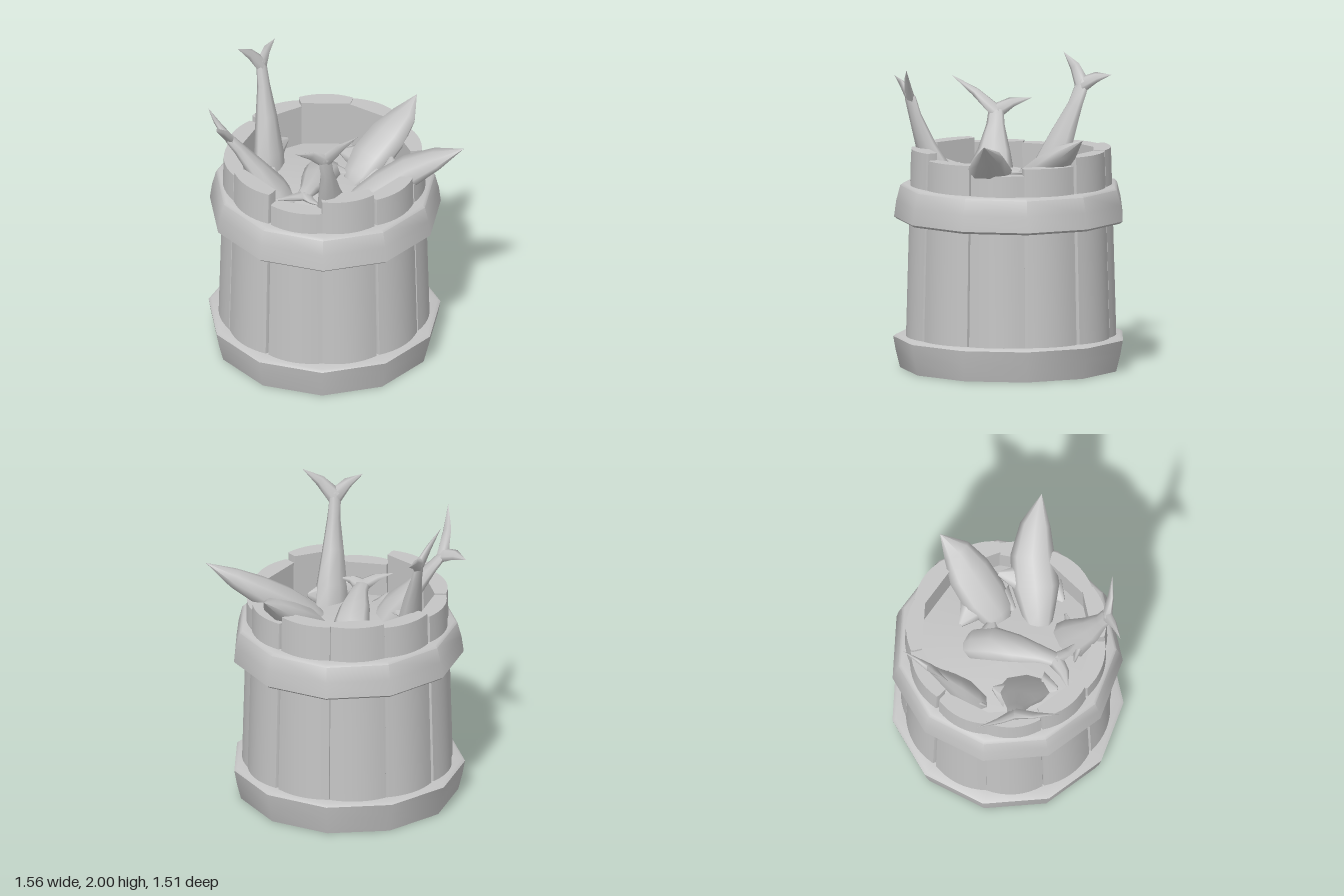
import * as THREE from 'three';
import { toCreasedNormals } from 'three/addons/utils/BufferGeometryUtils.js';

const SIDES = 11;
const STEP = (Math.PI * 2) / SIDES;
const START = THREE.MathUtils.degToRad(7.5);

// Loft of elliptical sections [x, y, z, halfWidth, halfThickness]; side = width direction
function loft(sections, side, n = 8) {
  const pts = sections.map(s => new THREE.Vector3(s[0], s[1], s[2]));
  const width = new THREE.Vector3(...side);
  const pos = [], index = [];
  sections.forEach((s, i) => {
    const t = pts[Math.min(i + 1, pts.length - 1)].clone().sub(pts[Math.max(i - 1, 0)]).normalize();
    const u = width.clone().addScaledVector(t, -width.dot(t)).normalize();
    const v = t.clone().cross(u);
    for (let j = 0; j < n; j++) {
      const a = (j / n) * Math.PI * 2;
      const p = pts[i].clone().addScaledVector(u, s[3] * Math.cos(a)).addScaledVector(v, s[4] * Math.sin(a));
      pos.push(p.x, p.y, p.z);
    }
    if (i === 0) return;
    for (let j = 0; j < n; j++) {
      const k = (j + 1) % n, a = (i - 1) * n, b = i * n;
      index.push(a + j, a + k, b + k, a + j, b + k, b + j);
    }
  });
  const g = new THREE.BufferGeometry();
  g.setAttribute('position', new THREE.Float32BufferAttribute(pos, 3));
  g.setIndex(index);
  g.computeVertexNormals();
  return g;
}

export function createModel() {
  const model = new THREE.Group();
  const grey = new THREE.MeshStandardMaterial({ color: 0xc4c4c4 });
  grey.name = 'plain grey';

  const add = (parent, name, geometry) => {
    const m = new THREE.Mesh(geometry, grey);
    m.name = name;
    parent.add(m);
    return m;
  };

  const barrel = new THREE.Group();
  barrel.name = 'barrel';
  barrel.position.x = 0.013;
  model.add(barrel);

  // Hoops: eleven-sided lathes with a slanted outer face
  const hoop = (name, profile) => {
    const pts = profile.map(p => new THREE.Vector2(...p));
    pts.push(pts[0].clone());
    const g = new THREE.LatheGeometry(pts, SIDES, Math.PI - START, Math.PI * 2);
    return add(barrel, name, toCreasedNormals(g, 0.75));
  };
  hoop('bottomHoop', [[0.72, 0], [0.748, 0.11], [0.765, 0.205], [0.745, 0.22], [0.62, 0.22], [0.6, 0.04], [0.63, 0]]);
  const topHoop = hoop('topHoop', [[0.745, 0.98], [0.762, 0.995], [0.748, 1.1], [0.722, 1.2], [0.705, 1.215], [0.62, 1.215], [0.62, 0.98]]);
  topHoop.rotation.z = -0.006;

  // Staves: bulged outside, flat inside, uneven tops
  const heights = [1.455, 1.45, 1.395, 1.35, 1.41, 1.455, 1.365, 1.44, 1.41, 1.4, 1.43];
  const half = 0.69 * Math.sin(STEP / 2) - 0.008;
  const apothem = 0.69 * Math.cos(STEP / 2);
  const bottom = 0.05;
  heights.forEach((h, i) => {
    const shape = new THREE.Shape();
    shape.moveTo(-half * 0.9, apothem - 0.09);
    shape.lineTo(half * 0.9, apothem - 0.09);
    shape.lineTo(half, apothem - 0.03);
    for (let k = 4; k >= -4; k--) {
      const s = k / 4;
      shape.lineTo(half * s * 0.99, apothem - 0.012 + 0.043 * (1 - s * s));
    }
    shape.lineTo(-half, apothem - 0.03);
    shape.closePath();
    const g = new THREE.ExtrudeGeometry(shape, { depth: h - bottom, bevelEnabled: false });
    g.rotateX(-Math.PI / 2);
    g.translate(0, bottom, 0);
    const p = g.attributes.position;
    for (let v = 0; v < p.count; v++) {
      const f = 1.005 - 0.045 * Math.max(0, p.getY(v) - 0.2);
      p.setX(v, p.getX(v) * f);
      p.setZ(v, p.getZ(v) * f);
    }
    const stave = add(barrel, 'stave', toCreasedNormals(g, 0.5));
    stave.rotation.y = -(START + STEP * (i + 0.5)) + 0.012 * Math.sin(i * 2.3);
  });

  // Floor boards, clipped to the round base and slightly tilted
  const floor = new THREE.Group();
  floor.name = 'floorBoards';
  floor.rotation.y = 0.1;
  barrel.add(floor);
  const reach = 0.64, boardWidth = 0.252;
  for (let i = -2; i <= 2; i++) {
    const rim = [-0.49, 0, 0.49].map(t => {
      const z = (i + t) * boardWidth;
      return [Math.sqrt(reach * reach - z * z), t * boardWidth];
    });
    const outline = [...rim, ...rim.map(([x, z]) => [-x, z]).reverse()];
    const shape = new THREE.Shape(outline.map(p => new THREE.Vector2(...p)));
    const g = new THREE.ExtrudeGeometry(shape, { depth: 0.04, bevelEnabled: false });
    g.rotateX(Math.PI / 2);
    const board = add(floor, 'floorBoard', g);
    board.position.set(0, 0.1, i * boardWidth);
    board.rotation.x = 0.07;
  }

  // Gently domed surface the fish lie in
  const dome = [[0.6, 1.13], [0.4, 1.16], [0.2, 1.18], [0, 1.19]].map(p => new THREE.Vector2(...p));
  add(barrel, 'contents', new THREE.LatheGeometry(dome, 22));

  // Fish: body loft, forked tail lobes and small side fins
  const fish = ({ name, body, side, tips = [], fins = [] }) => {
    const group = new THREE.Group();
    group.name = name;
    model.add(group);
    add(group, 'body', loft(body, side));
    const root = body[body.length - 1];
    const prev = body[body.length - 2];
    const along = new THREE.Vector3(root[0] - prev[0], root[1] - prev[1], root[2] - prev[2]).normalize();
    for (const tip of tips) {
      const mid = [0, 1, 2].map(k => root[k] * 0.55 + tip[k] * 0.45);
      const start = [0, 1, 2].map(k => root[k] - along.getComponent(k) * 0.04);
      add(group, 'tailLobe', loft([[...start, 0.055, 0.03], [...mid, 0.036, 0.016], [...tip, 0, 0]], along.toArray(), 6));
    }
    for (const [from, to, dir] of fins) {
      add(group, 'sideFin', loft([[...from, 0.1, 0.03], [...to, 0.015, 0.006], [...to, 0, 0]], dir, 6));
    }
  };

  fish({
    name: 'frontTailFish', side: [1, 0, -0.3],
    body: [[-0.08, 1.1, 0.38, 0.14, 0.08], [-0.11, 1.25, 0.43, 0.125, 0.075], [-0.17, 1.46, 0.52, 0.085, 0.055],
      [-0.21, 1.66, 0.58, 0.05, 0.035], [-0.235, 1.78, 0.605, 0.05, 0.025], [-0.24, 1.83, 0.62, 0, 0]],
    tips: [[-0.455, 1.9, 0.62], [-0.05, 1.99, 0.715]],
    fins: [[[-0.06, 1.2, 0.42], [0.07, 1.22, 0.43], [0, 1, 0.3]], [[-0.18, 1.22, 0.43], [-0.27, 1.24, 0.37], [0, 1, 0.3]]],
  });
  fish({
    name: 'backTailFish', side: [0.8, 0, -0.6],
    body: [[-0.23, 1.08, -0.33, 0.14, 0.08], [-0.22, 1.25, -0.38, 0.13, 0.08], [-0.2, 1.48, -0.47, 0.09, 0.06],
      [-0.185, 1.67, -0.55, 0.055, 0.035], [-0.18, 1.79, -0.595, 0.05, 0.025], [-0.18, 1.84, -0.615, 0, 0]],
    tips: [[-0.37, 2, -0.55], [-0.025, 1.88, -0.74]],
    fins: [[[-0.16, 1.26, -0.41], [-0.06, 1.29, -0.44], [0, 1, -0.3]], [[-0.27, 1.18, -0.34], [-0.355, 1.24, -0.28], [0, 1, -0.3]]],
  });
  fish({
    name: 'leftTailFish', side: [0.45, 0, -1],
    body: [[-0.28, 1.1, 0.03, 0.18, 0.09], [-0.34, 1.22, -0.01, 0.165, 0.085], [-0.43, 1.36, -0.08, 0.11, 0.06],
      [-0.54, 1.52, -0.14, 0.06, 0.035], [-0.6, 1.6, -0.17, 0.05, 0.025], [-0.625, 1.63, -0.175, 0, 0]],
    tips: [[-0.78, 1.83, 0.07], [-0.625, 1.67, -0.44]],
    fins: [[[-0.33, 1.24, -0.12], [-0.265, 1.26, -0.2], [1, 0, 0.2]], [[-0.34, 1.2, 0.11], [-0.4, 1.22, 0.2], [1, 0, 0.2]]],
  });
  fish({
    name: 'centreFish', side: [0.7, 0, 0.7],
    body: [[0.12, 1.13, -0.26, 0.06, 0.03], [0.1, 1.17, -0.2, 0.11, 0.06], [0.04, 1.22, -0.09, 0.12, 0.075],
      [-0.06, 1.26, 0.04, 0.1, 0.065], [-0.17, 1.29, 0.18, 0.06, 0.04], [-0.235, 1.3, 0.25, 0.05, 0.025], [-0.25, 1.31, 0.28, 0, 0]],
    tips: [[-0.47, 1.33, 0.25], [-0.17, 1.3, 0.42]],
    fins: [[[0.08, 1.22, -0.1], [0.2, 1.21, -0.03], [0.7, 0, -0.7]]],
  });
  fish({
    name: 'rightHeadFish', side: [0.25, 0, 1],
    body: [[0.19, 1.16, 0.03, 0.08, 0.04], [0.24, 1.19, 0.02, 0.12, 0.08], [0.35, 1.28, -0.03, 0.155, 0.1],
      [0.5, 1.39, -0.08, 0.15, 0.09], [0.63, 1.49, -0.12, 0.1, 0.06], [0.75, 1.58, -0.19, 0, 0]],
    fins: [[[0.3, 1.26, -0.13], [0.225, 1.24, -0.24], [1, 0.5, 0]], [[0.32, 1.25, 0.06], [0.22, 1.2, 0.13], [1, 0.5, 0]]],
  });
  fish({
    name: 'frontRightHeadFish', side: [-0.4, 0, 1],
    body: [[0.07, 1.15, 0.25, 0.08, 0.03], [0.15, 1.19, 0.27, 0.11, 0.07], [0.3, 1.27, 0.31, 0.155, 0.1],
      [0.47, 1.38, 0.35, 0.145, 0.09], [0.63, 1.48, 0.43, 0.1, 0.06], [0.78, 1.58, 0.53, 0, 0]],
    fins: [[[0.37, 1.31, 0.24], [0.44, 1.34, 0.1], [1, 0.5, 0]], [[0.26, 1.24, 0.4], [0.16, 1.21, 0.45], [1, 0.5, 0]]],
  });

  return model;
}
